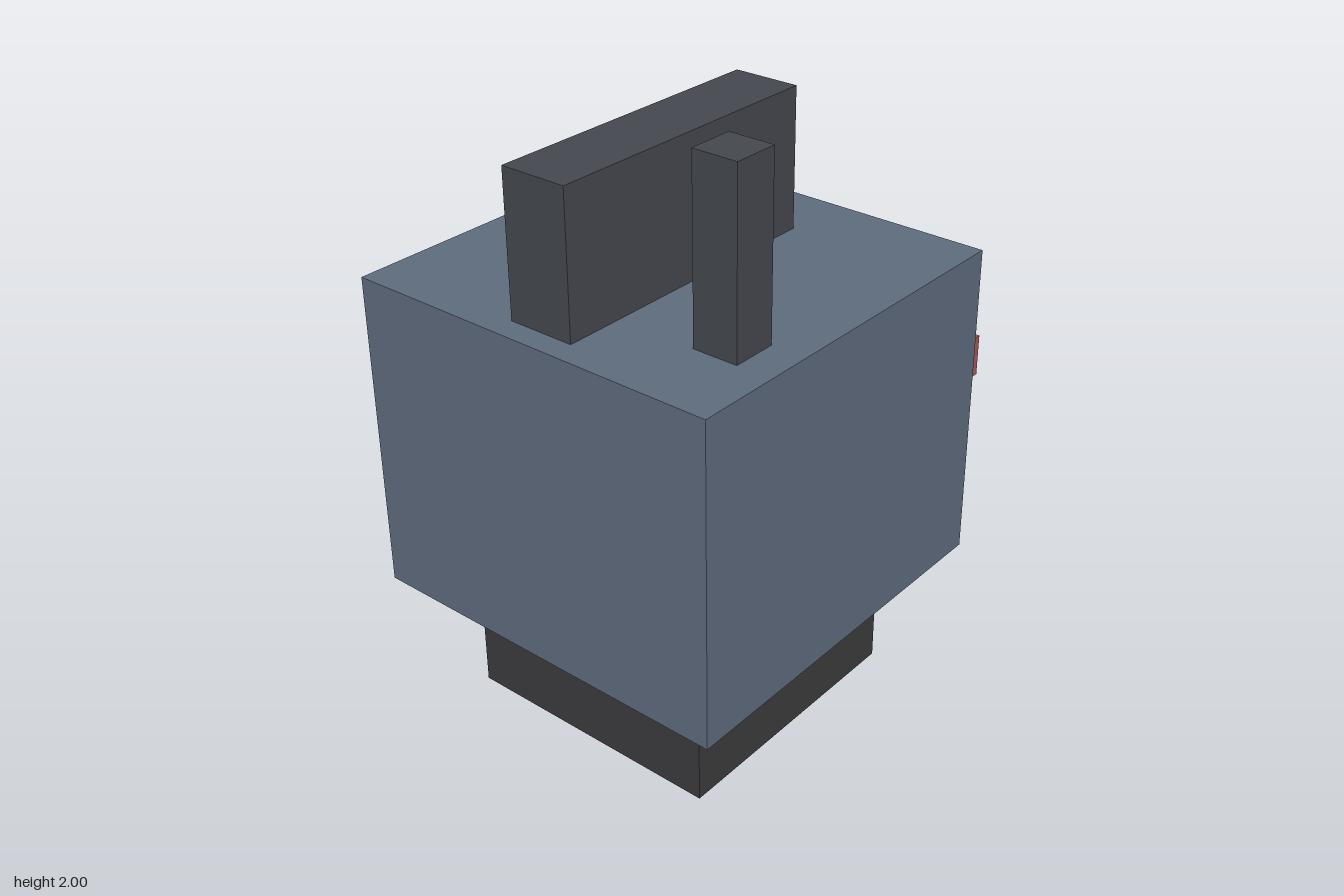
import * as THREE from 'three';

const material = (color) => new THREE.MeshStandardMaterial({ color });

// Box given by its minimum and maximum along each axis
function block(name, [x0, x1], [y0, y1], [z0, z1], mat) {
  const mesh = new THREE.Mesh(new THREE.BoxGeometry(x1 - x0, y1 - y0, z1 - z0), mat);
  mesh.name = name;
  mesh.position.set((x0 + x1) / 2, (y0 + y1) / 2, (z0 + z1) / 2);
  return mesh;
}

export function createModel() {
  const group = new THREE.Group();
  group.name = 'blockHead';

  const blue = material(0x5f6c7e);
  const slate = material(0x45484f);
  const charcoal = material(0x3c3c3e);
  const red = material(0xa85a52);

  const bottom = 0.413, top = 1.444, back = -0.426, packBack = -0.685;

  group.add(
    // Neck and the main head block
    block('neck', [-0.443, 0.443], [0, bottom], [-0.238, 0.648], charcoal),
    block('head', [-0.629, 0.629], [bottom, top], [back, 0.834], blue),
    // Crest and antenna on top
    block('crest', [-0.109, 0.109], [top, 1.89], [-0.203, 0.758], slate),
    block('antenna', [0.371, 0.516], [top, 2], [0.428, 0.573], slate),
    // Rear housing with a red light bar
    block('rearHousing', [-0.48, 0.48], [0.598, 0.963], [packBack, back], charcoal),
    block('lightBar', [-0.408, 0.408], [0.783, 0.927], [-0.834, packBack], red),
  );
  return group;
}
